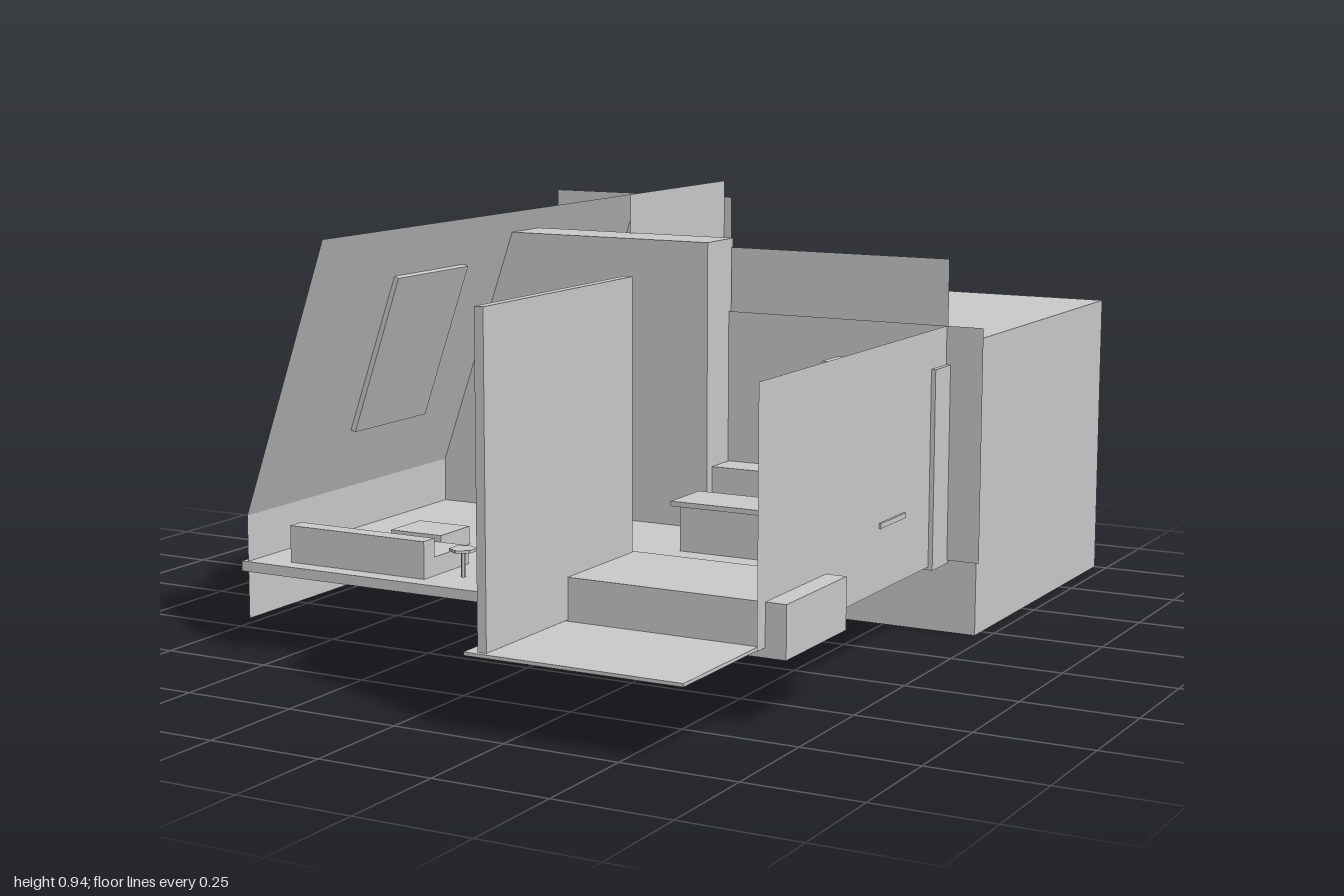
import * as THREE from 'three';

const solid = new THREE.MeshStandardMaterial({ color: 0xcccccc, flatShading: true });
const sheet = new THREE.MeshStandardMaterial({ color: 0xcccccc, flatShading: true, side: THREE.DoubleSide });

export function createModel() {
  const model = new THREE.Group();
  model.name = 'atticApartment';

  const add = (name, geometry, material = solid) => {
    const mesh = new THREE.Mesh(geometry, material);
    mesh.name = name;
    model.add(mesh);
    return mesh;
  };
  // Box given by its lower and upper limits on each axis
  const box = (name, [x0, x1], [y0, y1], [z0, z1]) =>
    add(name, new THREE.BoxGeometry(x1 - x0, y1 - y0, z1 - z0))
      .position.set((x0 + x1) / 2, (y0 + y1) / 2, (z0 + z1) / 2);
  // Thin wall across x, at a fixed z
  const wallX = (name, [x0, x1], [y0, y1], z) =>
    add(name, new THREE.PlaneGeometry(x1 - x0, y1 - y0), sheet)
      .position.set((x0 + x1) / 2, (y0 + y1) / 2, z);
  // Thin wall along z, at a fixed x, optionally leaning to x at its top
  const wallZ = (name, x, [y0, y1], [z0, z1], xTop = x) => {
    const mesh = add(name, new THREE.PlaneGeometry(z1 - z0, Math.hypot(y1 - y0, xTop - x)), sheet);
    mesh.rotation.set(0, Math.PI / 2, -Math.atan2(xTop - x, y1 - y0), 'ZYX');
    mesh.position.set((x + xTop) / 2, (y0 + y1) / 2, (z0 + z1) / 2);
  };

  // Floors and the large rear block
  box('floor', [-0.605, 0.63], [0.178, 0.2], [-0.68, 0.68]);
  box('balconyFloor', [0.155, 0.63], [0.158, 0.165], [0.41, 0.99]);
  box('rearBlock', [-0.133, 0.72], [0, 0.66], [-1, -0.21]);

  // Low side wall and sloping roof
  wallZ('kneeWall', -0.59, [0.075, 0.3], [-0.765, 0.677]);
  wallZ('slopingRoof', -0.59, [0.3, 0.9], [-0.765, 0.677], -0.38);

  // Thin walls
  wallX('crossWall', [-0.735, 0.73], [0.165, 0.685], -0.2);
  wallX('backWall', [-0.615, -0.12], [0.17, 0.9], -0.67);
  wallX('kitchenBackWall', [0.115, 0.645], [0.34, 0.83], -0.208);
  wallZ('backRoomSideWall', -0.14, [0.09, 0.94], [-0.67, -0.195]);
  wallZ('sideWall', 0.645, [0.165, 0.685], [-0.2, 0.72]);

  // Thick walls
  box('dividingWall', [-0.6, 0.113], [0.178, 0.85], [-0.218, -0.095]);
  box('frontPartition', [0.187, 0.207], [0.168, 0.83], [0.42, 0.99]);
  box('door', [-0.485, -0.205], [0.17, 0.56], [-0.235, -0.093]);

  // Roof window box, tilted with the roof
  const roofWindow = add('roofWindow', new THREE.BoxGeometry(0.12, 0.37, 0.28));
  roofWindow.position.set(-0.525, 0.632, 0.22);
  roofWindow.rotation.z = -0.335;

  // Kitchen
  box('counter', [0.115, 0.385], [0.158, 0.34], [-0.208, -0.117]);
  box('tallCabinet', [0.385, 0.655], [0.158, 0.6], [-0.208, -0.117]);
  box('islandBase', [0.17, 0.64], [0.165, 0.3], [0.03, 0.14]);
  box('islandTop', [0.153, 0.65], [0.3, 0.311], [0.02, 0.152]);

  // Bed
  box('bed', [0.2, 0.69], [0.145, 0.255], [0.41, 0.685]);

  // Sofa
  box('sofaSeat', [-0.505, -0.165], [0.2, 0.24], [0.47, 0.6]);
  box('sofaBack', [-0.505, -0.165], [0.2, 0.28], [0.6, 0.64]);

  // Low table
  box('lowTable', [-0.4, -0.27], [0.2, 0.24], [0.3, 0.415]);

  // Chair
  box('chairSeat', [-0.18, -0.1], [0.24, 0.25], [0.31, 0.41]);
  box('chairBack', [-0.101, -0.09], [0.2, 0.36], [0.31, 0.41]);
  for (const z of [0.315, 0.405])
    box('chairLeg', [-0.175, -0.165], [0.2, 0.24], [z - 0.005, z + 0.005]);

  // Six-sided side table
  add('sideTableTop', new THREE.CylinderGeometry(0.029, 0.029, 0.006, 6)).position.set(-0.107, 0.258, 0.58);
  add('sideTableStem', new THREE.CylinderGeometry(0.005, 0.005, 0.055, 6)).position.set(-0.107, 0.2275, 0.58);

  // Low bench in the back room
  box('benchSeat', [-0.44, -0.23], [0.2, 0.25], [-0.64, -0.53]);
  box('benchBack', [-0.445, -0.235], [0.22, 0.3], [-0.678, -0.64]);

  return model;
}
